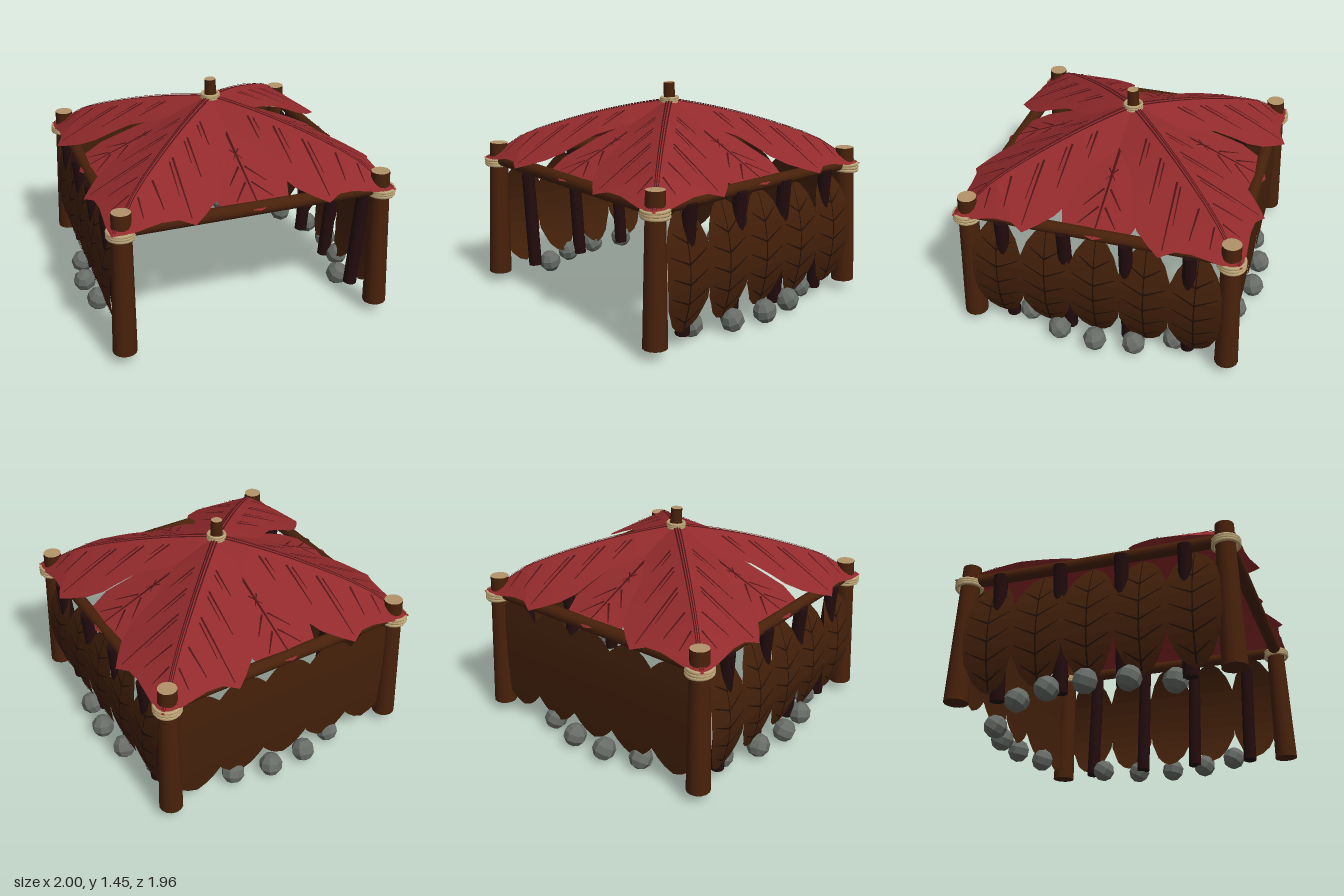
import * as THREE from 'three';
import { mergeGeometries } from 'three/addons/utils/BufferGeometryUtils.js';

const mat = (name, color, extra = {}) => {
  const m = new THREE.MeshStandardMaterial({ color, ...extra });
  m.name = name;
  return m;
};
const thin = { side: THREE.DoubleSide, flatShading: true };
const M = {
  wood: mat('brown wood', 0x48210b),
  cut: mat('cut wood', 0xb3946a),
  rope: mat('rope', 0xbfa678),
  stake: mat('dark stake wood', 0x220b0d),
  stone: mat('grey stone', 0x686d68, { flatShading: true }),
  roof: mat('red leaf', 0x922a2c, thin),
  roofVein: mat('dark red vein', 0x4a1214, thin),
  wall: mat('brown leaf', 0x43200a, thin),
  wallVein: mat('dark brown vein', 0x1e0d04, thin),
};

// Grid surface: rows x columns of points from a function
function surface(rows, cols, point) {
  const pos = [], idx = [];
  for (let i = 0; i <= rows; i++)
    for (let j = 0; j <= cols; j++) pos.push(...point(i / rows, (j / cols) * 2 - 1));
  for (let i = 0; i < rows; i++)
    for (let j = 0; j < cols; j++) {
      const a = i * (cols + 1) + j, b = a + cols + 1;
      idx.push(a, b, a + 1, a + 1, b, b + 1);
    }
  const g = new THREE.BufferGeometry();
  g.setAttribute('position', new THREE.Float32BufferAttribute(pos, 3));
  g.setIndex(idx);
  g.computeVertexNormals();
  return g;
}

// Leaf blade: profile of [distance along rib, half width] laid on a curved map(s, v, lift)
function blade(profile, map) {
  const n = profile.length - 1;
  return surface(n * 2, 8, (t, e) => {
    const k = Math.min(Math.floor(t * n), n - 1), f = t * n - k;
    const s = THREE.MathUtils.lerp(profile[k][0], profile[k + 1][0], f);
    const w = THREE.MathUtils.lerp(profile[k][1], profile[k + 1][1], f);
    return map(s, w * e, 0);
  });
}

// Tapered vein from (s0,v0) to (s1,v1), raised off the blade
function vein(map, s0, v0, s1, v1, w) {
  const l = Math.hypot(s1 - s0, v1 - v0), ns = -(v1 - v0) / l, nv = (s1 - s0) / l;
  return surface(10, 2, (t, e) => {
    const h = w * e * (1 - 0.6 * t);
    return map(s0 + (s1 - s0) * t + ns * h, v0 + (v1 - v0) * t + nv * h, 0.007);
  });
}

function leaf(name, profile, map, veins, leafMat, veinMat) {
  const g = new THREE.Group();
  g.name = name;
  g.add(new THREE.Mesh(blade(profile, map), leafMat));
  g.children[0].name = 'blade';
  if (veins.length) {
    const v = new THREE.Mesh(mergeGeometries(veins.map(a => vein(map, ...a))), veinMat);
    v.name = 'veins';
    g.add(v);
  }
  return g;
}

// Round pole between two points
function pole(name, a, b, ra, rb, mats) {
  const A = new THREE.Vector3(...a), B = new THREE.Vector3(...b), d = B.clone().sub(A);
  const m = new THREE.Mesh(new THREE.CylinderGeometry(rb, ra, d.length(), 14), mats);
  m.position.copy(A).add(B).multiplyScalar(0.5);
  m.quaternion.setFromUnitVectors(new THREE.Vector3(0, 1, 0), d.normalize());
  m.name = name;
  return m;
}

function lashing(x, y, z, r, tube, gap) {
  const g = new THREE.Group();
  g.name = 'ropeLashing';
  for (let i = -1; i <= 1; i++) {
    const ring = new THREE.Mesh(new THREE.TorusGeometry(r, tube, 6, 18), M.rope);
    ring.rotation.set(Math.PI / 2 + i * 0.03, i * 0.03, 0);
    ring.position.set(x, y + i * gap, z);
    ring.name = 'ropeRing';
    g.add(ring);
  }
  return g;
}

export function createModel() {
  const model = new THREE.Group();
  model.name = 'leafHut';
  const logMats = [M.wood, M.cut, M.wood];

  // Corner posts with lashings
  for (const sx of [-1, 1])
    for (const sz of [-1, 1]) {
      model.add(pole('cornerPost', [sx * 0.86, 0.07, sz * 0.865], [sx * 0.84, 1.012, sz * 0.84], 0.077, 0.06, logMats));
      model.add(lashing(sx * 0.848, 0.88, sz * 0.848, 0.08, 0.012, 0.018));
    }

  // Top beams
  for (const s of [-1, 1]) {
    model.add(pole('crossBeam', [-0.85, 0.9, s * 0.85], [0.85, 0.9, s * 0.85], 0.045, 0.042, M.wood));
    model.add(pole('sideBeam', [s * 0.85, 0.902, -0.85], [s * 0.85, 0.902, 0.85], 0.04, 0.04, M.wood));
  }

  // Roof peak
  model.add(pole('peakPole', [0.004, 1.22, -0.004], [-0.003, 1.443, 0.003], 0.042, 0.037, logMats));
  model.add(lashing(0, 1.325, 0, 0.056, 0.01, 0.013));

  // Roof leaves: four folded along the corner ridges, four smaller ones in the valleys
  const ridgeY = a => 1.33 - 0.18 * a - 0.25 * a * a;
  const cornerMap = (u, v, lift) => {
    const dip = Math.min(0.05, 0.25 * Math.max(0, u - 1));
    const y = ridgeY(u * Math.SQRT1_2) - dip - 0.42 * Math.abs(v) * Math.min(1, 1.8 - u * 0.8);
    return [(u - v) * Math.SQRT1_2, y + lift, (u + v) * Math.SQRT1_2];
  };
  const cornerProfile = [[0, 0], [0.226, 0.226], [0.34, 0.25], [0.467, 0.27], [0.58, 0.33], [0.67, 0.385],
    [0.78, 0.41], [0.9, 0.4], [0.99, 0.385], [1.02, 0.29], [1.085, 0.21], [1.206, 0.1], [1.3, 0]];
  const cornerVeins = [[0.06, 0.018, 1.28, 0.01, 0.005], [0.06, -0.018, 1.28, -0.01, 0.005], [0.06, 0, 1.28, 0, 0.005]];
  const sideMap = (s, v, lift) => [v, 1.3 - 0.43 * s - 0.1 * Math.abs(v) * s + lift, s];
  const sideProfile = [[0.12, 0.04], [0.45, 0.2], [0.7, 0.26], [0.82, 0.22], [0.865, 0.12], [0.91, 0]];
  const sideVeins = [[0.25, 0, 0.9, 0, 0.01], [0.44, -0.03, 0.52, 0.03, 0.005], [0.44, 0.03, 0.52, -0.03, 0.005]];
  for (const e of [-1, 1]) {
    for (const [s, len] of [[0.3, 0.13], [0.48, 0.2], [0.68, 0.28]]) {
      cornerVeins.push([s, e * 0.07, s + len * 1.05, e * (0.07 + len), 0.007]);
      cornerVeins.push([s + 0.04, e * 0.07, s + 0.04 + len * 0.6, e * (0.07 + len * 0.55), 0.005]);
    }
    cornerVeins.push([0.9, e * 0.05, 1.02, e * 0.19, 0.007], [1.04, e * 0.03, 1.12, e * 0.11, 0.006]);
    for (const s of [0.58, 0.7]) sideVeins.push([s, e * 0.02, s + 0.12, e * 0.12, 0.007]);
  }
  for (let k = 0; k < 4; k++) {
    const c = leaf('cornerRoofLeaf', cornerProfile, cornerMap, cornerVeins, M.roof, M.roofVein);
    const s = leaf('sideRoofLeaf', sideProfile, sideMap, sideVeins, M.roof, M.roofVein);
    c.rotation.y = s.rotation.y = (k * Math.PI) / 2;
    model.add(c, s);
  }

  // Side walls: bulging veined leaves hung on leaning stakes
  const sideWallProfile = [[0.1, 0], [0.12, 0.05], [0.17, 0.1], [0.3, 0.158], [0.46, 0.172], [0.66, 0.163],
    [0.76, 0.125], [0.83, 0.075], [0.875, 0]];
  const wallVeins = [[0.12, 0, 0.86, 0, 0.006]];
  for (const e of [-1, 1])
    for (let i = 0; i < 5; i++) wallVeins.push([0.17 + i * 0.125, 0, 0.24 + i * 0.125, e * (i % 4 ? 0.14 : 0.1), 0.006]);
  for (const side of [0, 1]) {
    const wall = new THREE.Group();
    wall.name = side ? 'rightWall' : 'leftWall';
    for (let i = -2; i <= 2; i++) {
      const map = (s, v, lift) => [0.925 - 0.6 * (s - 0.45) ** 2 + (i % 2) * 0.003 + lift, s, i * 0.325 + v];
      wall.add(leaf('wallLeaf', sideWallProfile, map, wallVeins, M.wall, M.wallVein));
    }
    for (const z of [-0.6, -0.2, 0.2, 0.61])
      wall.add(pole('wallStake', [0.812, 0.065, z], [0.878, 0.9, z], 0.046, 0.044, M.stake));
    wall.rotation.y = side * Math.PI;
    model.add(wall);
  }

  // Back wall: broad overlapping plain leaves
  const backProfile = [[0.09, 0], [0.12, 0.07], [0.16, 0.12], [0.21, 0.165], [0.35, 0.19], [0.65, 0.19],
    [0.78, 0.165], [0.83, 0.11], [0.865, 0.05], [0.875, 0]];
  for (let i = -2; i <= 2; i++) {
    const map = (s, v) => [i * 0.333 + v, s, -0.875 + 0.1 * (s - 0.45) ** 2 + (i % 2) * 0.003];
    model.add(leaf('backWallLeaf', backProfile, map, [], M.wall, M.wallVein));
  }

  // Faceted stones set in arcs round three sides
  const spots = [];
  for (const s of [-1, 1]) {
    spots.push([s * 0.922, 0], [s * 0.13, -0.908], [s * 0.38, -0.835]);
    for (const t of [-1, 1]) spots.push([s * 0.885, t * 0.255], [s * 0.77, t * 0.5]);
  }
  spots.forEach(([x, z], i) => {
    const stone = new THREE.Mesh(new THREE.SphereGeometry(0.079, 8, 5), M.stone);
    stone.position.set(x, 0.078, z);
    stone.rotation.set(0.4, i * 0.7, 0.2);
    stone.name = 'stone';
    model.add(stone);
  });
  return model;
}
